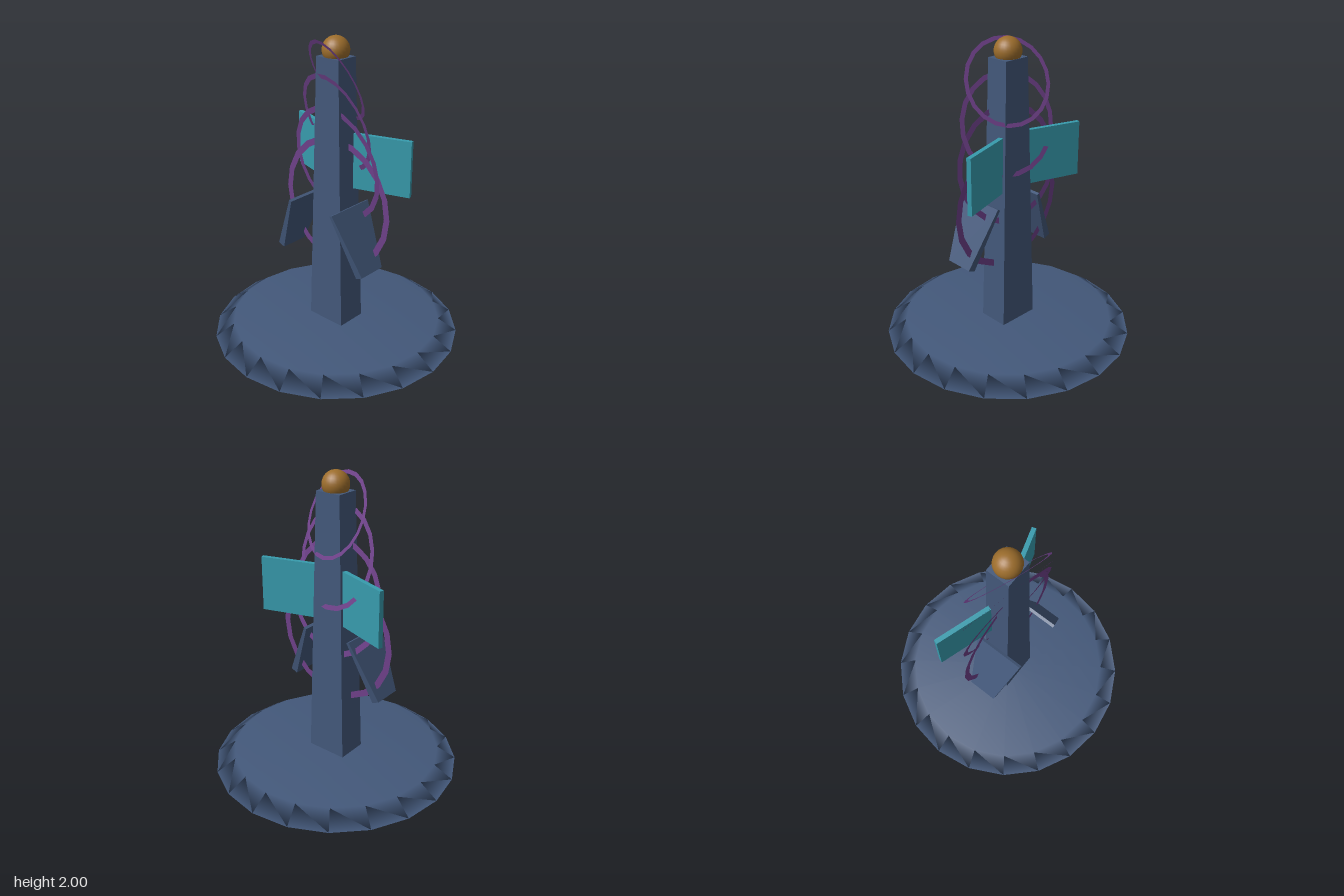
import * as THREE from 'three';

const slate = new THREE.MeshStandardMaterial({ color: 0x43587a });
const slateFlat = new THREE.MeshStandardMaterial({ color: 0x43587a, flatShading: true });
const teal = new THREE.MeshStandardMaterial({ color: 0x379bad });
const purple = new THREE.MeshStandardMaterial({ color: 0x6e4089, side: THREE.DoubleSide });
const bronze = new THREE.MeshStandardMaterial({ color: 0x9c6d2c });

function addMesh(parent, name, geometry, material, x = 0, y = 0, z = 0) {
  const mesh = new THREE.Mesh(geometry, material);
  mesh.name = name;
  mesh.position.set(x, y, z);
  parent.add(mesh);
  return mesh;
}

// Box whose width and depth differ between top and bottom
function taperedBox(topW, topD, bottomW, bottomD, height) {
  const geometry = new THREE.BoxGeometry(1, height, 1);
  const p = geometry.attributes.position;
  for (let i = 0; i < p.count; i++) {
    const top = p.getY(i) > 0;
    p.setX(i, p.getX(i) * (top ? topW : bottomW));
    p.setZ(i, p.getZ(i) * (top ? topD : bottomD));
  }
  geometry.computeVertexNormals();
  return geometry;
}

export function createModel() {
  const model = new THREE.Group();
  model.name = 'ringedTower';

  // Round plinth with a sloping edge and soft shading
  const profile = [[0, 0], [0.825, 0], [0.7, 0.085], [0, 0.085]].map(([r, y]) => new THREE.Vector2(r, y));
  addMesh(model, 'base', new THREE.LatheGeometry(profile, 20), slate);

  // Tapered pillar and the ball on top of it
  addMesh(model, 'pillar', taperedBox(0.18, 0.155, 0.28, 0.205, 1.79), slateFlat, 0, 0.98, 0);
  addMesh(model, 'ball', new THREE.SphereGeometry(0.086, 24, 16), bronze, 0, 1.914, 0);

  // Flat rings that shrink, tilt and turn as they climb
  const rings = new THREE.Group();
  rings.name = 'rings';
  model.add(rings);
  for (let i = 0; i < 4; i++) {
    const radius = 0.42 - 0.05 * i;
    const half = 0.022 - 0.003 * i;
    const geometry = new THREE.RingGeometry(radius - half, radius + half, 20);
    const ring = addMesh(rings, `ring${i + 1}`, geometry, purple, 0, 0.92 + 0.268 * i, 0);
    ring.rotation.set(0.15 * i, -0.1 * i, 0);
  }

  // Swept-back panels and splayed side fins, mirrored
  for (const side of [1, -1]) {
    const prefix = side > 0 ? 'left' : 'right';
    const panel = addMesh(model, `${prefix}Panel`, new THREE.BoxGeometry(0.38, 0.365, 0.03), teal,
      side * 0.29, 1.22, -0.108);
    panel.rotation.y = side * 0.305;
    const fin = addMesh(model, `${prefix}Fin`, taperedBox(0.02, 0.342, 0.052, 0.195, 0.435), slateFlat,
      side * 0.261, 0.755, 0.07);
    fin.rotation.z = side * 0.406;
  }
  return model;
}
